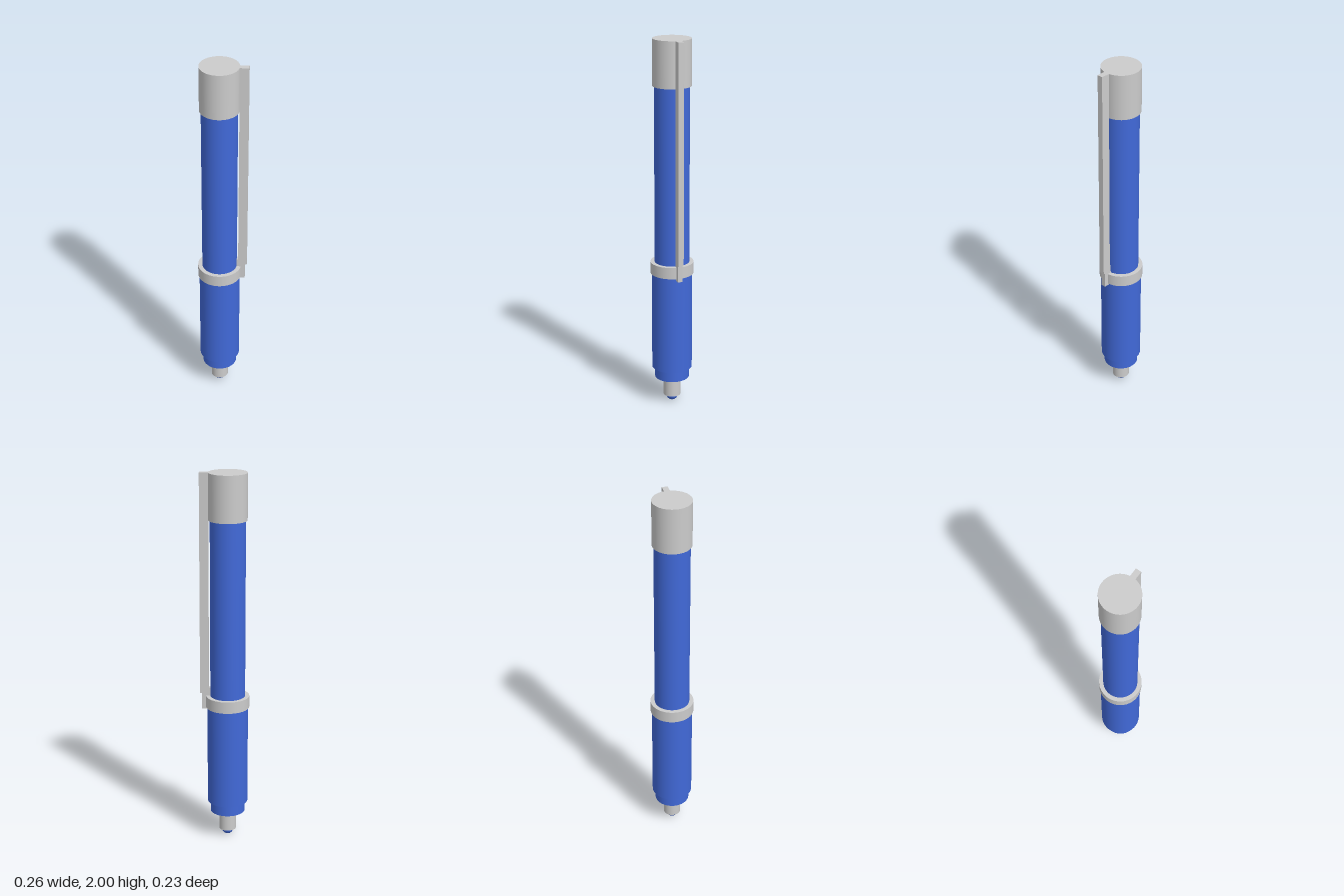
import * as THREE from 'three';

export function createModel() {
  const pen = new THREE.Group();
  pen.name = 'pen';
  const grey = new THREE.MeshStandardMaterial({ color: 0xcccccc });
  const blue = new THREE.MeshStandardMaterial({ color: 0x4169d8 });
  const axisX = -0.016;

  function add(name, geometry, material, x, y) {
    const mesh = new THREE.Mesh(geometry, material);
    mesh.name = name;
    mesh.position.set(x, y, 0);
    pen.add(mesh);
  }

  // Round parts stacked on the pen axis: name, radius, bottom, top, material
  const roundParts = [
    ['tip', 0.046, 0.037, 0.15, grey],
    ['barrel', 0.0925, 0.145, 1.77, blue],
    ['grip', 0.108, 0.205, 0.75, blue],
    ['ring', 0.115, 0.747, 0.81, grey],
    ['cap', 0.101, 1.757, 2, grey],
  ];
  for (const [name, radius, bottom, top, material] of roundParts) {
    add(name, new THREE.CylinderGeometry(radius, radius, top - bottom, 48), material, axisX, (bottom + top) / 2);
  }

  // Writing ball
  add('ball', new THREE.SphereGeometry(0.031, 32, 20), blue, axisX, 0.033);

  // Pocket clip and the small foot at its lower end
  add('clip', new THREE.BoxGeometry(0.046, 1.175, 0.03), grey, 0.107, 1.4125);
  add('clipFoot', new THREE.BoxGeometry(0.045, 0.12, 0.026), grey, 0.097, 0.796);

  return pen;
}
